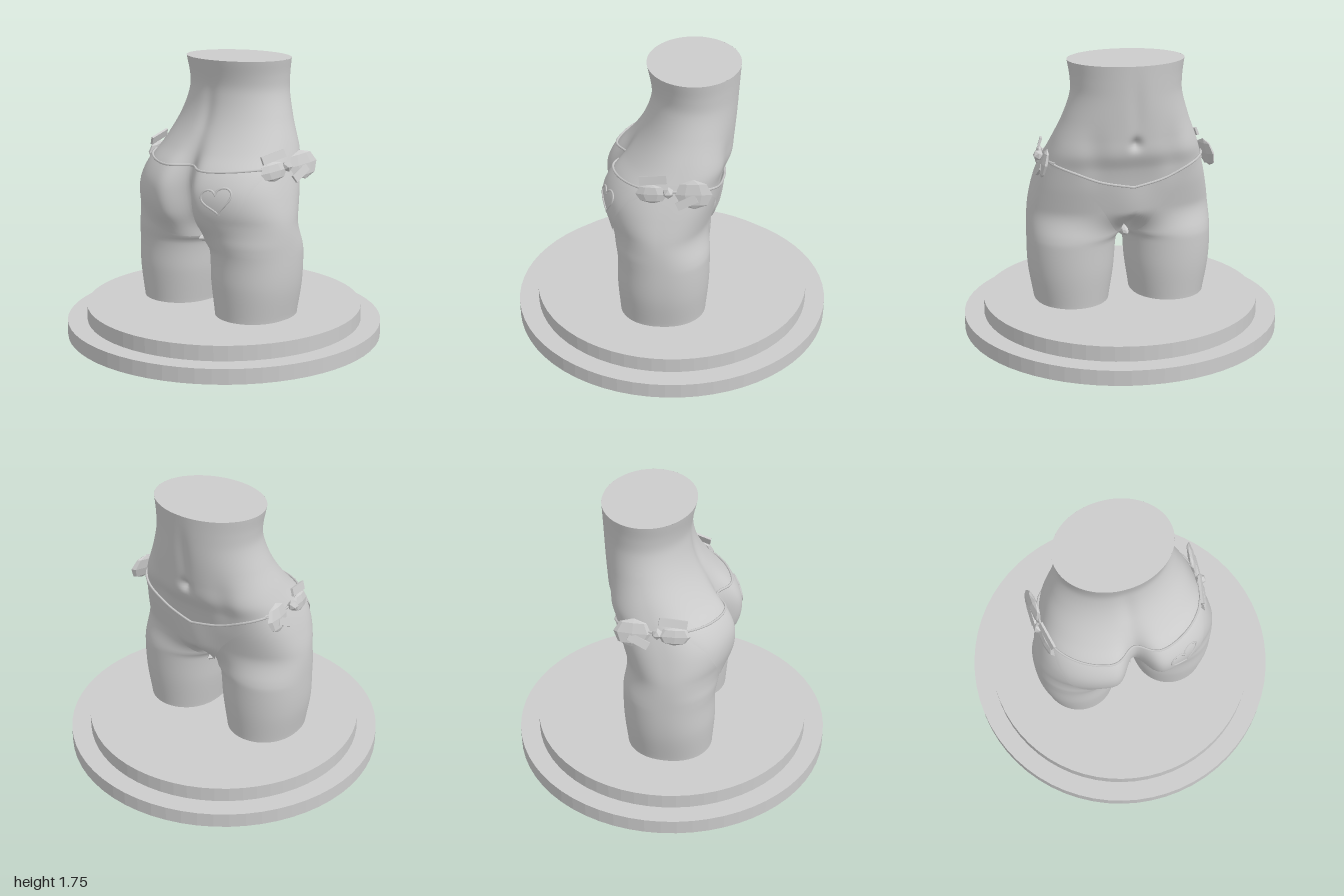
import * as THREE from 'three';

const mat = () => new THREE.MeshStandardMaterial({ color: 0xcccccc, side: THREE.DoubleSide });
const flatMat = () => { const m = mat(); m.flatShading = true; return m; };
const bell = (d, s) => Math.exp(-(d * d) / (s * s));
const lerp = THREE.MathUtils.lerp;

// Smooth (Hermite) interpolation through [position, value] keys
function curve(keys) {
  const n = keys.length - 1;
  const slope = i => {
    const a = keys[Math.max(i - 1, 0)], b = keys[Math.min(i + 1, n)];
    return (b[1] - a[1]) / (b[0] - a[0]);
  };
  return t => {
    if (t <= keys[0][0]) return keys[0][1];
    if (t >= keys[n][0]) return keys[n][1];
    let i = 0;
    while (t > keys[i + 1][0]) i++;
    const h = keys[i + 1][0] - keys[i][0], u = (t - keys[i][0]) / h, u2 = u * u, u3 = u2 * u;
    return (2 * u3 - 3 * u2 + 1) * keys[i][1] + (u3 - 2 * u2 + u) * h * slope(i)
      + (3 * u2 - 2 * u3) * keys[i + 1][1] + (u3 - u2) * h * slope(i + 1);
  };
}

// Body outline by height: outer side, inner thigh, +z edge, -z edge, cleft depth
const outer = curve([[0.19, 0.55], [0.4, 0.585], [0.6, 0.592], [0.8, 0.582], [0.95, 0.55], [1.1, 0.505],
  [1.25, 0.45], [1.4, 0.39], [1.55, 0.345], [1.65, 0.345], [1.75, 0.36]]);
const inner = curve([[0.19, 0.08], [0.4, 0.048], [0.56, 0.035], [0.61, 0.025], [0.64, 0], [0.7, 0]]);
const plusZ = curve([[0.19, 0.31], [0.4, 0.325], [0.6, 0.325], [0.7, 0.355], [0.8, 0.405], [0.9, 0.428], [1, 0.42],
  [1.1, 0.37], [1.2, 0.285], [1.3, 0.215], [1.4, 0.165], [1.5, 0.135], [1.6, 0.125], [1.75, 0.152]]);
const minusZ = curve([[0.19, -0.225], [0.4, -0.245], [0.6, -0.25], [0.7, -0.25], [0.8, -0.265], [0.95, -0.295],
  [1.1, -0.33], [1.2, -0.372], [1.3, -0.385], [1.5, -0.405], [1.75, -0.418]]);
const cleft = curve([[0.62, 0.22], [0.75, 0.18], [0.95, 0.15], [1.1, 0.09], [1.2, 0.035], [1.32, 0.008], [1.75, 0]]);

// Surface point of one body half; a runs from -PI (front centre) round the side to PI (back centre)
function bodyPoint(y, a) {
  const w = outer(y), inn = Math.max(0, inner(y)), zp = plusZ(y), zm = minusZ(y);
  const x = inn + (w - inn) * (1 + Math.cos(a)) / 2;
  const mid = (zp + zm) / 2, rz = (zp - zm) / 2;
  const f = Math.min(x / w, 1), hip = bell(y - 1.05, 0.25);
  const n = a > 0 ? 2 + 0.2 * hip : 2 + 0.8 * hip;
  const arch = Math.pow(Math.max(0, 1 - Math.pow(f, n)), 1 / n);
  let torso = a >= 0 ? mid + rz * arch : mid - rz * arch;
  if (a > 0) torso -= cleft(y) * bell(x, 0.085) + 0.012 * bell(x, 0.05) * bell(y - 1.4, 0.2);
  else torso += 0.03 * bell(x, 0.035) * bell(y - 1.27, 0.035)
    + 0.01 * bell(x, 0.05) * bell(y - 1.48, 0.18) + 0.018 * bell(x - 0.24, 0.07) * bell(y - 1.2, 0.14);
  const leg = mid + rz * Math.sign(a) * Math.pow(Math.abs(Math.sin(a)), 0.9);
  const k = THREE.MathUtils.smoothstep(y, 0.62, 0.82);
  return new THREE.Vector3(x, y, lerp(leg, torso, k));
}

// Point at signed x on the back (side 1) or front (side -1), lifted off the skin
function onBody(x, y, side, lift) {
  const w = outer(y), inn = Math.max(0, inner(y));
  const c = THREE.MathUtils.clamp((Math.abs(x) - inn) / (w - inn) * 2 - 1, -1, 1);
  const p = bodyPoint(y, side * Math.acos(c));
  const mid = (plusZ(y) + minusZ(y)) / 2, len = Math.hypot(p.x, p.z - mid) || 1;
  p.z += lift * (p.z - mid) / len;
  p.x = Math.sign(x) * (p.x + lift * p.x / len);
  return p;
}

// Grid surface from a point function; flip reverses the facing
function grid(rows, cols, fn, flip) {
  const pos = [], idx = [];
  for (let i = 0; i <= rows; i++) for (let j = 0; j <= cols; j++) pos.push(...fn(i / rows, j / cols).toArray());
  for (let i = 0; i < rows; i++) for (let j = 0; j < cols; j++) {
    const a = i * (cols + 1) + j, b = a + cols + 1;
    if (flip) idx.push(a, a + 1, b, b, a + 1, b + 1);
    else idx.push(a, b, a + 1, b, b + 1, a + 1);
  }
  const g = new THREE.BufferGeometry();
  g.setAttribute('position', new THREE.Float32BufferAttribute(pos, 3));
  g.setIndex(idx);
  g.computeVertexNormals();
  return g;
}

export function createModel() {
  const model = new THREE.Group();
  const add = (name, geo, material = mat(), parent = model) => {
    const m = new THREE.Mesh(geo, material);
    m.name = name;
    parent.add(m);
    return m;
  };

  // Two-step round stand
  add('lowerBase', new THREE.CylinderGeometry(1, 1, 0.095, 64).translate(0, 0.0475, 0), flatMat());
  add('upperBase', new THREE.CylinderGeometry(0.875, 0.875, 0.095, 64).translate(0, 0.1425, 0), flatMat());

  // Torso and legs, mirrored halves
  for (const s of [1, -1]) {
    const g = grid(100, 72, (v, u) => {
      const p = bodyPoint(lerp(0.185, 1.75, v), lerp(-Math.PI, Math.PI, u));
      p.x *= s;
      return p;
    }, s < 0);
    // Blend shading across the centre line
    const P = g.attributes.position, N = g.attributes.normal;
    for (let i = 0; i < P.count; i++) if (Math.abs(P.getX(i)) < 1e-5) {
      const l = Math.hypot(N.getY(i), N.getZ(i)) || 1;
      N.setXYZ(i, 0, N.getY(i) / l, N.getZ(i) / l);
    }
    add(s > 0 ? 'leftBody' : 'rightBody', g);
  }

  // Flat cut at the waist
  const rim = [];
  for (const s of [1, -1]) for (let j = 0; j <= 48; j++) {
    const p = bodyPoint(1.75, s * lerp(-Math.PI, Math.PI, j / 48));
    rim.push(new THREE.Vector2(s * p.x, -p.z));
  }
  add('waistCut', new THREE.ShapeGeometry(new THREE.Shape(rim)).rotateX(-Math.PI / 2).translate(0, 1.75, 0));

  // Bikini panels between a waist line and a leg line
  const backTop = curve([[0, 1.115], [0.2, 1.11], [0.48, 1.135]]);
  const backLow = curve([[0, 0.645], [0.1, 0.65], [0.3, 0.735], [0.42, 0.9], [0.48, 1.1]]);
  const frontTop = curve([[0, 0.99], [0.2, 1.03], [0.35, 1.09], [0.48, 1.135]]);
  const frontLow = curve([[0, 0.64], [0.07, 0.67], [0.2, 0.87], [0.35, 1.02], [0.48, 1.1]]);
  const panel = (top, low, side, bump) => grid(20, 60, (v, u) => {
    const x = lerp(-0.48, 0.48, u), ax = Math.abs(x);
    const y = lerp(low(ax), top(ax), v);
    const p = onBody(x, y, side, 0.009);
    p.z += side * bump * bell(x, 0.13) * bell(y - 0.85, 0.2);
    return p;
  }, side > 0);
  add('backPanel', panel(backTop, backLow, 1, 0));
  add('frontPanel', panel(frontTop, frontLow, -1, 0.03));
  add('gusset', new THREE.SphereGeometry(1, 12, 8).scale(0.038, 0.04, 0.2).translate(0, 0.64, 0.03), flatMat());

  // Waist string along the top of each panel, and round the hips
  const string = pts => new THREE.TubeGeometry(new THREE.CatmullRomCurve3(pts), 60, 0.008, 5);
  for (const [name, top, side] of [['backString', backTop, 1], ['frontString', frontTop, -1]]) {
    const pts = [];
    for (let i = 0; i <= 40; i++) {
      const x = lerp(-0.49, 0.49, i / 40);
      const p = onBody(x, top(Math.abs(x)), side, 0.008);
      if (side < 0) p.z -= 0.03 * bell(x, 0.13) * bell(p.y - 0.85, 0.2);
      pts.push(p);
    }
    add(name, string(pts));
  }
  for (const s of [1, -1]) {
    const pts = [];
    for (let i = 0; i <= 12; i++) {
      const p = bodyPoint(1.135, lerp(-0.6, 0.6, i / 12));
      pts.push(new THREE.Vector3(s * (p.x + 0.008), p.y, p.z));
    }
    add('hipString', string(pts));
  }

  // Faceted side bows: puffed loops, tails and a knot
  const loop = (len, height) => {
    const g = new THREE.SphereGeometry(1, 7, 4);
    return g.scale(0.022, height, len);
  };
  for (const s of [1, -1]) {
    const bow = new THREE.Group();
    bow.name = s > 0 ? 'leftBow' : 'rightBow';
    const part = (name, geo, x, y, z, rx, ry, rz) => {
      const m = add(name, geo, flatMat(), bow);
      m.position.set(s * x, y, z);
      m.rotation.set(rx, s * ry, s * rz);
    };
    part('frontLoop', loop(0.115, 0.09), 0.515, 1.13, -0.15, 0.1, -0.12, 0.25);
    part('backLoop', loop(0.1, 0.06), 0.5, 1.12, 0.1, 0.1, -0.2, 0.2);
    part('knot', new THREE.IcosahedronGeometry(0.035, 0), 0.52, 1.14, 0, 0, 0, 0);
    part('upperTail', new THREE.BoxGeometry(0.015, 0.05, 0.17), 0.49, 1.205, 0.09, 0.2, -0.2, 0.35);
    part('lowerTail', new THREE.BoxGeometry(0.015, 0.05, 0.13), 0.535, 1.085, -0.11, 0.5, 0, 0.35);
    model.add(bow);
  }

  // Raised heart outline on the back panel
  const heart = [];
  for (let i = 0; i < 40; i++) {
    const t = i / 40 * Math.PI * 2;
    const hx = Math.pow(Math.sin(t), 3) * 0.09;
    const hy = (13 * Math.cos(t) - 5 * Math.cos(2 * t) - 2 * Math.cos(3 * t) - Math.cos(4 * t)) * 0.0055;
    heart.push(onBody(0.29 + hx * 0.97 - hy * 0.2, 0.96 + hy * 0.97 + hx * 0.2, 1, 0.01));
  }
  add('heartOutline', new THREE.TubeGeometry(new THREE.CatmullRomCurve3(heart, true), 80, 0.007, 5, true));

  return model;
}
